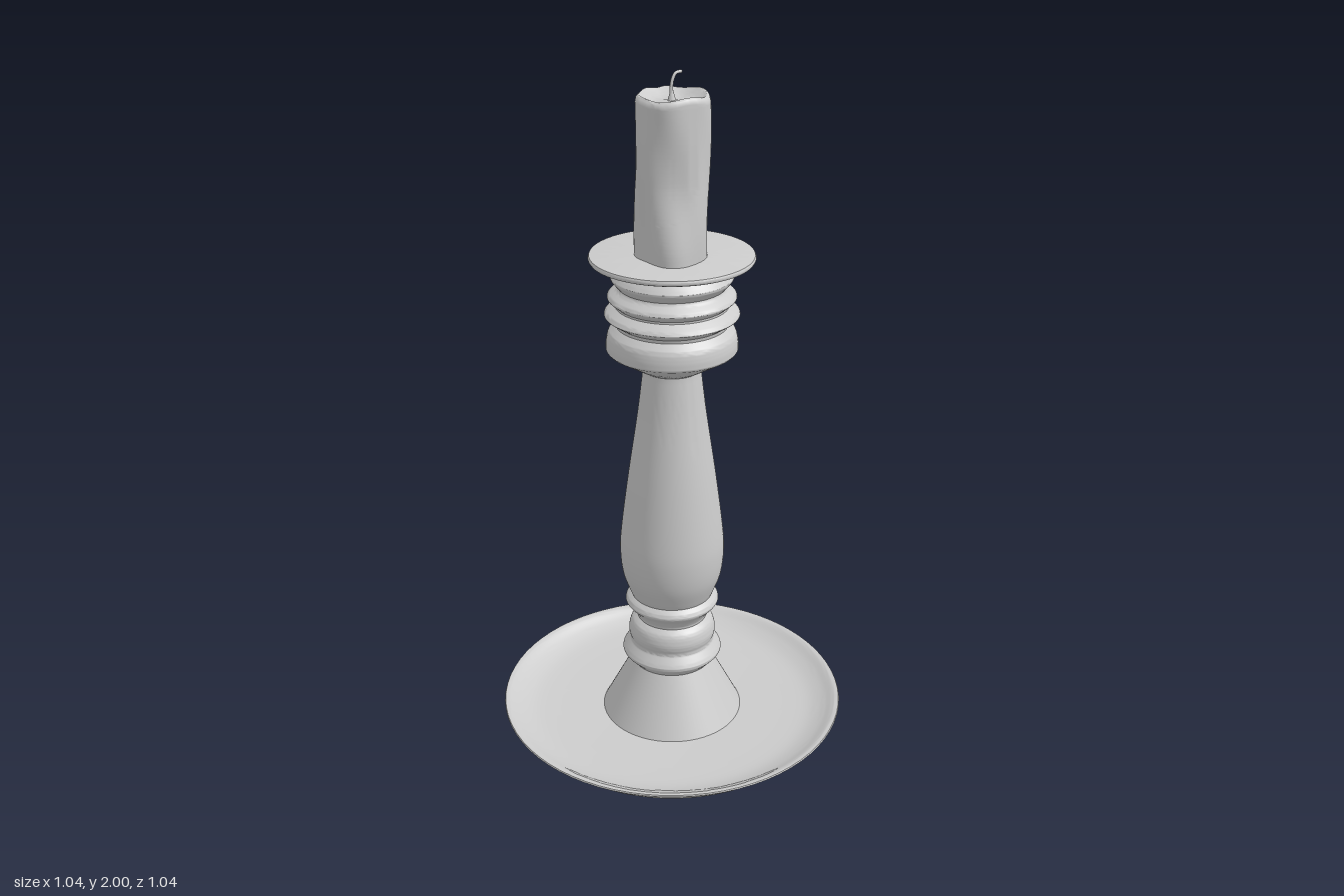
import * as THREE from 'three';
import { toCreasedNormals } from 'three/addons/utils/BufferGeometryUtils.js';

const material = new THREE.MeshStandardMaterial({ color: 0xcccccc });

function addMesh(group, name, geometry) {
  const mesh = new THREE.Mesh(geometry, material);
  mesh.name = name;
  group.add(mesh);
}

// Joins runs of [radius, height] points; runs of three or more points become smooth curves.
function profile(...runs) {
  return runs.flatMap((run) => {
    const pts = run.map(([r, y]) => new THREE.Vector2(r, y));
    if (pts.length < 3) return pts;
    return new THREE.SplineCurve(pts).getPoints((pts.length - 1) * 5);
  });
}

function turned(points, crease = 0.7) {
  return toCreasedNormals(new THREE.LatheGeometry(points, 72), crease);
}

// Rounded bump: 1 at the centre, fading to 0 over the width.
const bump = (d, width) => Math.exp(-((d / width) ** 2));
const angleGap = (a, b) => Math.atan2(Math.sin(a - b), Math.cos(a - b));

// Melted candle: a turned cylinder whose vertices are pushed about by smooth waves.
function candleGeometry() {
  const side = Array.from({ length: 23 }, (_, i) => [0.1, 1.49 + i * 0.0198]);
  const geometry = new THREE.LatheGeometry([
    ...profile([[0, 1.49]], side),
    ...profile([[0.097, 1.938], [0.09, 1.943], [0.08, 1.936], [0.055, 1.923], [0.025, 1.922], [0.006, 1.925]], [[0, 1.926]]),
  ], 64);
  const pos = geometry.attributes.position;
  for (let i = 0; i < pos.count; i++) {
    const x = pos.getX(i), y = pos.getY(i), z = pos.getZ(i);
    const a = Math.atan2(z, x), r = Math.hypot(x, z), k = r / 0.1;
    const low = 1 - THREE.MathUtils.smoothstep(y, 1.52, 1.72);
    let push = 0.003 * Math.sin(3 * a + 9 * y) + 0.002 * Math.sin(5 * a - 14 * y);
    push += 0.024 * low * bump(angleGap(a, 0.6), 0.6);
    push += 0.006 * bump(angleGap(a, Math.PI), 0.6) * bump(y - 1.82, 0.1);
    push -= 0.009 * bump(angleGap(a, 0.3), 0.4) * bump(y - 1.74, 0.1);
    push -= 0.008 * bump(angleGap(a, -3), 0.2) * bump(y - 1.93, 0.04);
    const s = 1 + push / 0.1;
    const top = THREE.MathUtils.smoothstep(y, 1.88, 1.92);
    const dip = top * k * (0.004 * Math.sin(4 * a + 1) - 0.006 * bump(angleGap(a, 1.6), 0.6)
      - 0.008 * bump(angleGap(a, -3), 0.25));
    pos.setXYZ(i, x * s, y + dip, z * s);
  }
  return toCreasedNormals(geometry, 0.9);
}

export function createModel() {
  const group = new THREE.Group();
  group.name = 'candlestick';

  // Shallow drip dish
  addMesh(group, 'dish', turned(profile(
    [[0, 0], [0.44, 0]],
    [[0.455, 0.004], [0.522, 0.063]],
    [[0.52, 0.067], [0.505, 0.064], [0.47, 0.045], [0.42, 0.03], [0.34, 0.024]],
    [[0, 0.022]],
  ), 0.5));

  // Flared foot, beaded collar and baluster
  addMesh(group, 'stem', turned(profile(
    [[0.215, 0.02], [0.122, 0.2]],
    [[0.128, 0.208], [0.147, 0.228], [0.15, 0.237], [0.145, 0.247], [0.128, 0.27]],
    [[0.126, 0.277], [0.131, 0.295], [0.13, 0.315], [0.122, 0.337], [0.105, 0.352]],
    [[0.105, 0.358], [0.118, 0.38], [0.138, 0.402], [0.14, 0.411], [0.134, 0.421], [0.122, 0.431]],
    [[0.126, 0.44], [0.147, 0.5], [0.155, 0.57], [0.151, 0.65], [0.128, 0.83], [0.1, 1.02], [0.083, 1.16]],
    [[0.083, 1.18]],
  )));

  // Ribbed socket holding the candle
  addMesh(group, 'socket', turned(profile(
    [[0, 1.162], [0.08, 1.162]],
    [[0.088, 1.164], [0.183, 1.222]],
    [[0.187, 1.227], [0.186, 1.25], [0.18, 1.275], [0.168, 1.288], [0.158, 1.297]],
    [[0.16, 1.307], [0.187, 1.325], [0.19, 1.331], [0.184, 1.338], [0.16, 1.354]],
    [[0.16, 1.36], [0.178, 1.375], [0.181, 1.381], [0.176, 1.388], [0.154, 1.404]],
    [[0.152, 1.411], [0.168, 1.43], [0.172, 1.438], [0.168, 1.445], [0.155, 1.46]],
    [[0.155, 1.48], [0, 1.48]],
  )));

  // Flat wax plate above the socket
  addMesh(group, 'waxPlate', turned(profile(
    [[0, 1.468], [0.155, 1.468]],
    [[0.165, 1.472], [0.222, 1.484]],
    [[0.229, 1.487], [0.232, 1.494], [0.229, 1.501]],
    [[0.222, 1.502], [0, 1.5]],
  ), 0.6));

  addMesh(group, 'candle', candleGeometry());

  // Bent wick with a small wax cone at its base
  const path = new THREE.CatmullRomCurve3([
    [0, 1.915, 0], [0, 1.95, 0.003], [0, 1.98, -0.002], [0, 1.994, -0.012], [0, 1.996, -0.028],
  ].map((p) => new THREE.Vector3(...p)));
  addMesh(group, 'wick', new THREE.TubeGeometry(path, 20, 0.0045, 8));
  const tip = new THREE.SphereGeometry(0.0045, 8, 6);
  tip.translate(0, 1.996, -0.028);
  addMesh(group, 'wickTip', tip);
  addMesh(group, 'wickBase', new THREE.CylinderGeometry(0.004, 0.012, 0.03, 12).translate(0, 1.935, 0.001));

  return group;
}
